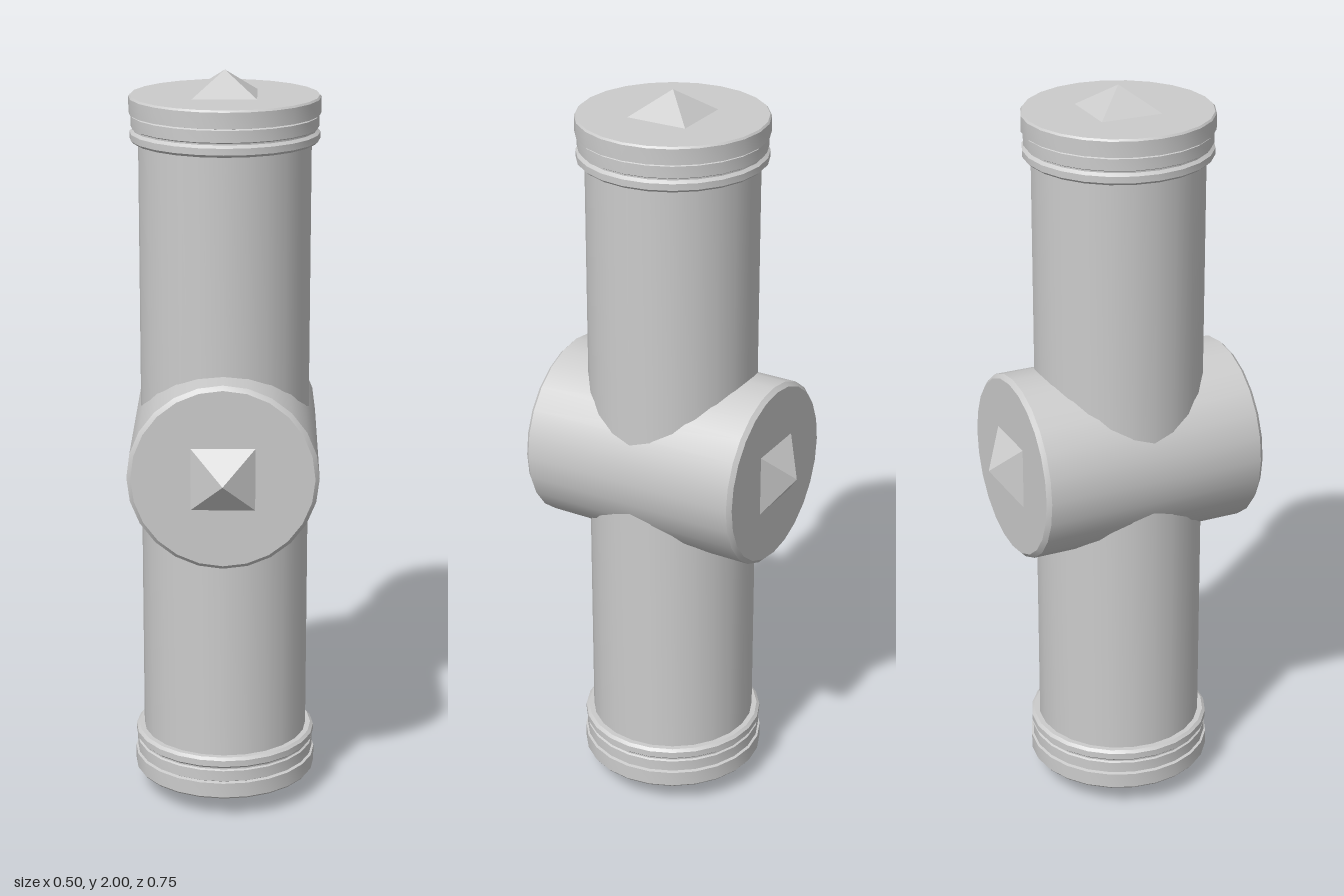
import * as THREE from 'three';
import { toCreasedNormals } from 'three/addons/utils/BufferGeometryUtils.js';

const material = new THREE.MeshStandardMaterial({ color: 0xcccccc });
const flatMaterial = new THREE.MeshStandardMaterial({ color: 0xcccccc, flatShading: true });
const SIDES = 24;

// Turned part: [radius, height] pairs listed from bottom to top
function turned(name, profile) {
  const points = profile.map(([r, y]) => new THREE.Vector2(r, y));
  const geometry = toCreasedNormals(new THREE.LatheGeometry(points, SIDES), 0.5);
  const mesh = new THREE.Mesh(geometry, material);
  mesh.name = name;
  return mesh;
}

// Four-sided pyramid stud standing on height y
function stud(name, y) {
  const height = 0.063;
  const geometry = new THREE.ConeGeometry(0.083 * Math.SQRT2, height, 4);
  geometry.rotateY(Math.PI / 4);
  const mesh = new THREE.Mesh(geometry, flatMaterial);
  mesh.name = name;
  mesh.position.y = y + height / 2;
  return mesh;
}

// Grooved end cap with its stud, measured from the middle of the column
function endCap(name) {
  const cap = new THREE.Group();
  cap.name = name;
  cap.add(turned('capRings', [
    [0.22, 0.818], [0.238, 0.818], [0.246, 0.825], [0.246, 0.842], [0.238, 0.849],
    [0.238, 0.853], [0.243, 0.856], [0.243, 0.886], [0.238, 0.889],
    [0.248, 0.891], [0.248, 0.932], [0.244, 0.937], [0, 0.937],
  ]));
  cap.add(stud('capStud', 0.937));
  return cap;
}

export function createModel() {
  const model = new THREE.Group();
  model.name = 'studdedCrossColumn';

  // Upright column
  const column = turned('column', [[0, -0.92], [0.224, -0.92], [0.224, 0.92], [0, 0.92]]);
  column.position.y = 1;
  model.add(column);

  // Matching caps at both ends
  for (const [name, turn] of [['topCap', 0], ['bottomCap', Math.PI]]) {
    const cap = endCap(name);
    cap.position.y = 1;
    cap.rotation.x = turn;
    model.add(cap);
  }

  // Horizontal drum running front to back, with a stud on each face
  const crossDrum = new THREE.Group();
  crossDrum.name = 'crossDrum';
  crossDrum.add(turned('drum', [
    [0, -0.312], [0.237, -0.312], [0.248, -0.301], [0.248, 0.301], [0.237, 0.312], [0, 0.312],
  ]));
  crossDrum.add(stud('frontStud', 0.312));
  const backStud = new THREE.Group();
  backStud.add(stud('backStud', 0.312));
  backStud.rotation.x = Math.PI;
  crossDrum.add(backStud);
  crossDrum.rotation.x = Math.PI / 2;
  crossDrum.position.y = 1;
  model.add(crossDrum);

  return model;
}
